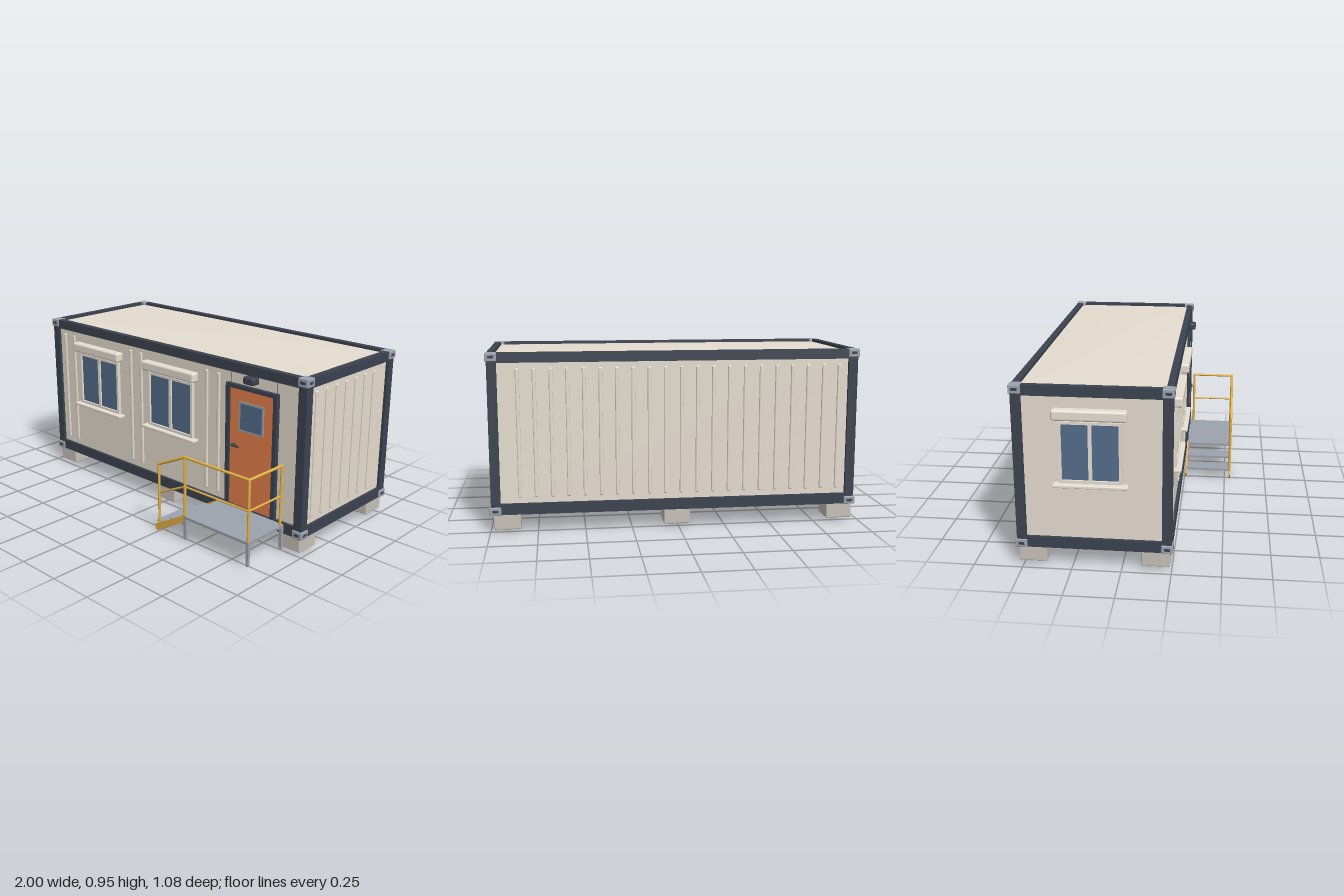
import * as THREE from 'three';
import { RoundedBoxGeometry } from 'three/addons/geometries/RoundedBoxGeometry.js';

const material = (name, color) => {
  const m = new THREE.MeshStandardMaterial({ color });
  m.name = name;
  return m;
};

export function createModel() {
  const model = new THREE.Group();
  model.name = 'siteCabin';

  const panel = material('beigePanel', 0xe6ddd0);
  const trim = material('lightTrim', 0xe9e1d4);
  const dark = material('darkFrame', 0x3c4350);
  const steel = material('greySteel', 0x9ca3ae);
  const glass = material('blueGlass', 0x546d8c);
  const orange = material('orangeDoor', 0xe6804a);
  const yellow = material('yellowRail', 0xe6b245);
  const concrete = material('concrete', 0xc8c2b8);
  const floorMat = material('greyUnderside', 0x9e9891);

  const add = (parent, name, geometry, mat) => {
    const mesh = new THREE.Mesh(geometry, mat);
    mesh.name = name;
    parent.add(mesh);
    return mesh;
  };
  // Box given by its lower and upper limits on each axis, rounded if r is set
  const box = (parent, name, mat, x0, x1, y0, y1, z0, z1, r = 0) => {
    const s = [x1 - x0, y1 - y0, z1 - z0];
    const g = r ? new RoundedBoxGeometry(...s, 2, r) : new THREE.BoxGeometry(...s);
    const mesh = add(parent, name, g, mat);
    mesh.position.set((x0 + x1) / 2, (y0 + y1) / 2, (z0 + z1) / 2);
    return mesh;
  };
  const group = (name, parent = model) => {
    const g = new THREE.Group();
    g.name = name;
    parent.add(g);
    return g;
  };

  // Cabin shell, built around its own centre line
  const cabin = group('cabin');
  cabin.position.set(0.0125, 0, -0.14);
  const HX = 0.98, HZ = 0.39, INSET = 0.015;
  const wx = HX - INSET, wz = HZ - INSET;
  box(cabin, 'walls', panel, -wx, wx, 0.12, 0.925, -wz, wz);
  box(cabin, 'underside', floorMat, -wx, wx, 0.108, 0.119, -wz, wz);

  // Gently crowned roof sheet
  const roofGeo = new THREE.PlaneGeometry(2 * wx, 2 * wz, 16, 10).rotateX(-Math.PI / 2);
  const p = roofGeo.attributes.position;
  for (let i = 0; i < p.count; i++) {
    const u = p.getX(i) / wx, v = p.getZ(i) / wz;
    p.setY(i, 0.934 + 0.014 * (1 - u * u) * (1 - v * v));
  }
  roofGeo.computeVertexNormals();
  add(cabin, 'roof', roofGeo, panel);

  // Frame beams, posts and corner blocks
  for (const [y0, y1] of [[0.099, 0.158], [0.898, 0.95]]) {
    for (const s of [-1, 1]) {
      const x = s * (HX - 0.0175), z = s * (HZ - 0.0175);
      box(cabin, 'longBeam', dark, -HX, HX, y0, y1, z - 0.0175, z + 0.0175);
      box(cabin, 'endBeam', dark, x - 0.0175, x + 0.0175, y0, y1, -HZ + 0.035, HZ - 0.035);
    }
  }
  for (const sx of [-1, 1]) for (const sz of [-1, 1]) {
    const x = sx * (HX - 0.025), z = sz * (HZ - 0.025);
    box(cabin, 'cornerPost', dark, x - 0.025, x + 0.025, 0.14, 0.91, z - 0.025, z + 0.025);
    for (const y of [0.119, 0.929]) {
      const c = group('cornerCasting', cabin);
      c.position.set(sx * 0.957, y, sz * 0.367);
      box(c, 'cornerBlock', steel, -0.03, 0.03, -0.022, 0.022, -0.03, 0.03, 0.004);
      box(c, 'frontSlot', dark, -0.015, 0.015, -0.007, 0.007, sz * 0.03 - 0.001, sz * 0.03 + 0.001);
      box(c, 'sideSlot', dark, sx * 0.03 - 0.001, sx * 0.03 + 0.001, -0.007, 0.007, -0.015, 0.015);
    }
  }

  // Pressed ribs at one pitch; the front skips the windows and the door
  const ribs = group('wallRibs');
  const zFront = 0.235, zBack = -0.515, xEnd = 0.0125 + wx, pitch = 0.0855;
  for (let i = 0; i < 21; i++) {
    const x = -0.87 + i * pitch;
    box(ribs, 'backRib', panel, x - 0.01, x + 0.01, 0.188, 0.87, zBack - 0.009, zBack + 0.008, 0.007);
    if ([0, 1, 7, 8, 14, 15].includes(i))
      box(ribs, 'frontRib', panel, x - 0.01, x + 0.01, 0.188, 0.87, zFront - 0.008, zFront + 0.009, 0.007);
  }
  for (let i = 0; i < 7; i++) {
    const z = 0.149 - i * pitch;
    box(ribs, 'endRib', panel, xEnd - 0.008, xEnd + 0.009, 0.188, 0.87, z - 0.01, z + 0.01, 0.007);
  }
  for (const x of [0.5, 0.803])
    box(ribs, 'panelSeam', dark, x - 0.0015, x + 0.0015, 0.16, 0.9, zFront - 0.001, zFront + 0.001);

  // Two-pane window with shutter box and sill, facing +z with its back at z = 0
  const makeWindow = (w) => {
    const g = group('window');
    const h = w / 2, y0 = 0.458, y1 = 0.775, t = 0.014;
    box(g, 'glass', glass, -h, h, y0, y1, 0.002, 0.008);
    for (const x of [-h, h])
      box(g, 'windowUpright', trim, x - t / 2, x + t / 2, y0, y1, 0, 0.02);
    box(g, 'mullion', trim, -0.009, 0.009, y0, y1, 0, 0.018);
    for (const y of [y0 + 0.007, y1 - 0.007])
      box(g, 'windowRail', trim, -h, h, y - t / 2, y + t / 2, 0, 0.019);
    box(g, 'shutterBox', trim, -h - 0.035, h + 0.035, 0.785, 0.84, -0.005, 0.0475, 0.012);
    box(g, 'sill', trim, -h - 0.038, h + 0.038, 0.44, 0.456, -0.005, 0.045, 0.004);
    return g;
  };
  makeWindow(0.335).position.set(-0.545, 0, zFront);
  makeWindow(0.335).position.set(0.06, 0, zFront);
  const endWindow = makeWindow(0.295);
  endWindow.position.set(0.0125 - wx, 0, -0.15);
  endWindow.rotation.y = -Math.PI / 2;

  // Door with frame, pane and handle
  const door = group('door');
  box(door, 'doorLeaf', orange, 0.5, 0.795, 0.156, 0.82, zFront, 0.247);
  for (const x of [0.4925, 0.807])
    box(door, 'doorJamb', dark, x - 0.0125, x + 0.0125, 0.155, 0.836, zFront, 0.258);
  box(door, 'doorHead', dark, 0.505, 0.795, 0.815, 0.836, zFront, 0.258);
  box(door, 'paneFrame', steel, 0.568, 0.732, 0.588, 0.75, 0.245, 0.252);
  box(door, 'doorPane', glass, 0.579, 0.721, 0.599, 0.739, 0.25, 0.2535);
  box(door, 'handleStem', dark, 0.533, 0.545, 0.499, 0.51, 0.246, 0.275);
  box(door, 'handleLever', dark, 0.533, 0.583, 0.5, 0.509, 0.266, 0.276);
  box(door, 'doorLamp', dark, 0.615, 0.685, 0.858, 0.898, 0.23, 0.285, 0.01);

  // Concrete support blocks
  for (const x of [-0.89, 0.01, 0.91]) for (const z of [0.17, -0.452])
    box(model, 'supportBlock', concrete, x - 0.07, x + 0.07, 0.018, 0.1, z - 0.071, z + 0.071, 0.005);

  // Entrance landing, legs and treads
  const stairs = group('entranceStairs');
  box(stairs, 'landing', steel, 0.44, 0.885, 0.138, 0.153, 0.254, 0.537);
  for (const x of [0.447, 0.877]) for (const z of [0.262, 0.529])
    box(stairs, 'landingLeg', steel, x - 0.0075, x + 0.0075, 0.018, 0.14, z - 0.0075, z + 0.0075);
  box(stairs, 'upperTread', steel, 0.335, 0.44, 0.095, 0.107, 0.262, 0.528);
  box(stairs, 'lowerTread', steel, 0.235, 0.34, 0.051, 0.063, 0.262, 0.528);

  // Sloping stringers on both sides of the steps
  const side = new THREE.Shape([[0.238, 0], [0.452, 0.122], [0.452, 0.162], [0.22, 0.032]]
    .map(([x, y]) => new THREE.Vector2(x, y)));
  const stringerGeo = new THREE.ExtrudeGeometry(side, { depth: 0.009, bevelEnabled: false });
  for (const z of [0.254, 0.527]) add(stairs, 'stringer', stringerGeo, yellow).position.z = z;

  // Tubular handrail
  const rail = group('handrail', stairs);
  const bar = (name, a, b, r = 0.0075) => {
    const from = new THREE.Vector3(...a), to = new THREE.Vector3(...b);
    const dir = to.clone().sub(from);
    const m = add(rail, name, new THREE.CylinderGeometry(r, r, dir.length(), 12), yellow);
    m.position.copy(from).add(to).multiplyScalar(0.5);
    m.quaternion.setFromUnitVectors(new THREE.Vector3(0, 1, 0), dir.normalize());
  };
  const zo = 0.529, zi = 0.276, xa = 0.253, xb = 0.445, xc = 0.878;
  bar('stairPost', [xa, 0.04, zo], [xa, 0.394, zo]);
  bar('landingPost', [xb, 0.15, zo], [xb, 0.484, zo]);
  bar('cornerRailPost', [xc, 0.15, zo], [xc, 0.484, zo]);
  bar('wallRailPost', [xc, 0.15, zi], [xc, 0.484, zi]);
  for (const [name, y, r] of [['topRail', 0.484, 0.0075], ['middleRail', 0.319, 0.0055]]) {
    bar(name, [xa, y - 0.09, zo], [xb, y, zo], r);
    bar(name, [xb, y, zo], [xc, y, zo], r);
    bar(name, [xc, y, zo], [xc, y, zi], r);
  }
  // Rounded rail joints
  for (const [x, y, z] of [[xa, 0.394, zo], [xb, 0.484, zo], [xc, 0.484, zo], [xc, 0.484, zi]])
    add(rail, 'railJoint', new THREE.SphereGeometry(0.0075, 12, 8), yellow).position.set(x, y, z);

  return model;
}
